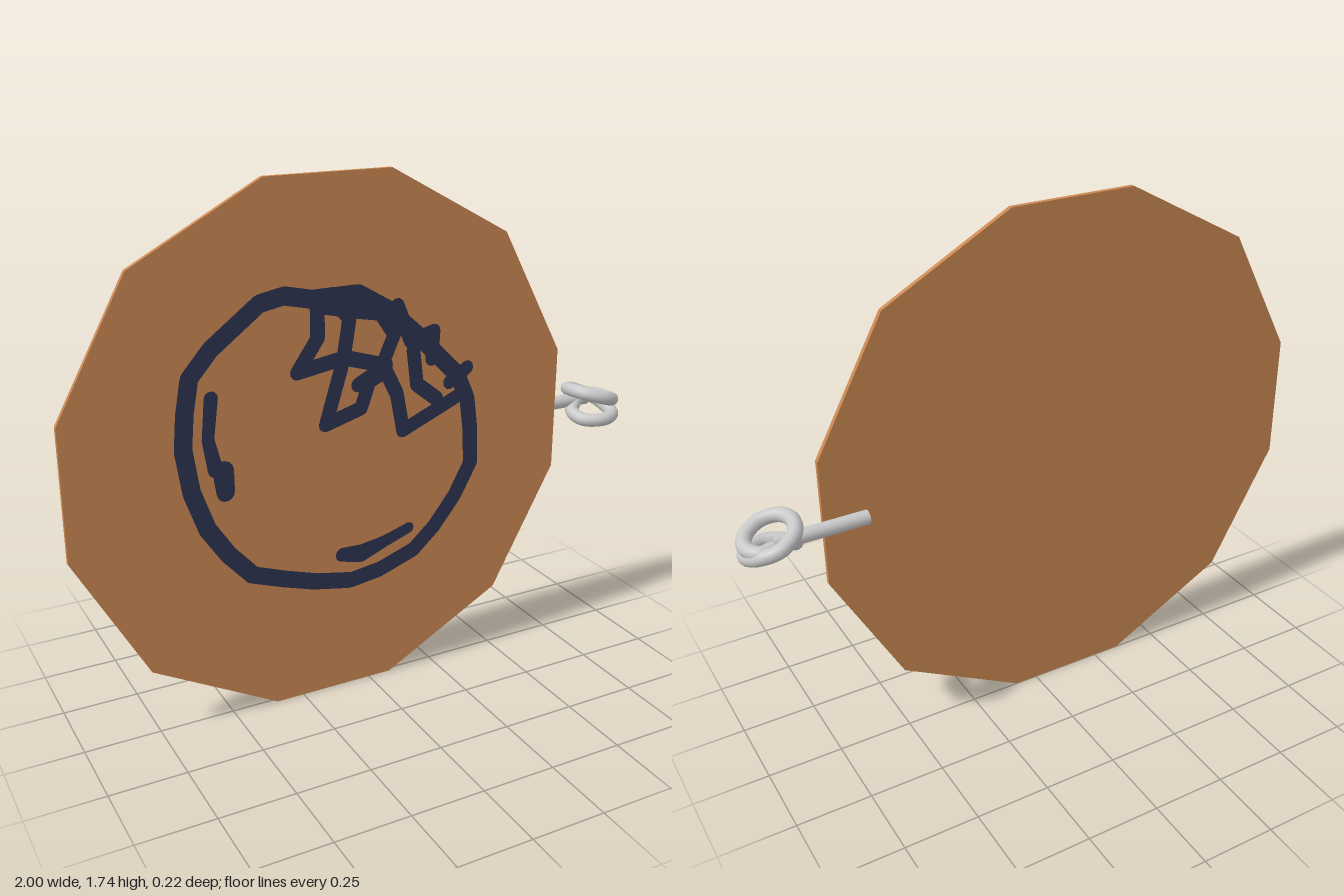
import * as THREE from 'three';
import { mergeGeometries } from 'three/addons/utils/BufferGeometryUtils.js';

const wood = new THREE.MeshStandardMaterial({ color: 0xcb8852 });
wood.name = 'copper brown';
const ink = new THREE.MeshStandardMaterial({ color: 0x2d3453 });
ink.name = 'navy ink';
const metal = new THREE.MeshStandardMaterial({ color: 0xc8c8c8 });
metal.name = 'light metal';

const CX = -0.133, CY = 0.87, FRONT = 0.0165;

function add(group, name, geometry, material) {
  const mesh = new THREE.Mesh(geometry, material);
  mesh.name = name;
  group.add(mesh);
  return mesh;
}

// Flat brush stroke: a quad per segment and a round dab per point [x, y, width]
function stroke(points, closed = false) {
  const parts = [];
  points.forEach(([x, y, w], i) => {
    parts.push(new THREE.CircleGeometry(w / 2, 14).translate(x, y, 0));
    if (i === points.length - 1 && !closed) return;
    const [x2, y2, w2] = points[(i + 1) % points.length];
    const len = Math.hypot(x2 - x, y2 - y);
    const quad = new THREE.PlaneGeometry(len, 1);
    const p = quad.attributes.position;
    for (let k = 0; k < 4; k++) p.setY(k, p.getY(k) * (p.getX(k) < 0 ? w : w2));
    parts.push(quad.rotateZ(Math.atan2(y2 - y, x2 - x)).translate((x + x2) / 2, (y + y2) / 2, 0));
  });
  return mergeGeometries(parts).translate(0, 0, FRONT + 0.0015);
}
const even = (w, pts) => pts.map(([x, y]) => [x, y, w]);

export function createModel() {
  const model = new THREE.Group();
  model.name = 'paintedPendant';

  // Twelve-sided plate
  const a = 0.8675, b = 0.213, c = 0.637;
  const corners = [];
  for (let q = 0; q < 4; q++) {
    for (const [x, y] of [[a, -b], [a, b], [c, c]]) {
      const v = new THREE.Vector2(x, y).rotateAround(new THREE.Vector2(), q * Math.PI / 2);
      corners.push(new THREE.Vector2(CX + v.x, CY + v.y * 0.87 / a));
    }
  }
  add(model, 'plate', new THREE.ExtrudeGeometry(new THREE.Shape(corners),
    { depth: FRONT, bevelEnabled: false }), wood);

  // Painted outline
  add(model, 'paintedOutline', stroke(even(0.058, [
    [-0.37, 1.37], [-0.29, 1.385], [-0.2, 1.365], [-0.04, 1.365], [0.07, 1.3], [0.17, 1.21],
    [0.25, 1.13], [0.33, 1.05], [0.37, 0.96], [0.385, 0.85], [0.39, 0.73], [0.33, 0.62],
    [0.25, 0.52], [0.17, 0.45], [0.04, 0.405], [-0.07, 0.39], [-0.2, 0.415], [-0.31, 0.45],
    [-0.42, 0.49], [-0.5, 0.58], [-0.565, 0.68], [-0.61, 0.81], [-0.63, 0.95], [-0.62, 1.06],
    [-0.6, 1.17], [-0.53, 1.25], [-0.45, 1.31]]), true), ink);

  // Painted zigzag along the upper right
  add(model, 'paintedZigzag', stroke(even(0.05, [
    [-0.18, 1.35], [-0.18, 1.24], [-0.25, 1.14], [-0.09, 1.165], [-0.155, 0.955], [-0.03, 0.99],
    [0.0, 1.075], [0.06, 1.1], [0.1, 1.02], [0.125, 0.89], [0.34, 0.98]])), ink);
  [
    [[-0.13, 1.37], [-0.07, 1.29], [-0.09, 1.17]],
    [[-0.07, 1.16], [0.06, 1.12], [-0.04, 1.07]],
    [[0.03, 1.31], [0.09, 1.22], [0.04, 1.11]],
    [[0.1, 1.31], [0.15, 1.19], [0.235, 1.21], [0.23, 1.12]],
    [[0.16, 1.16], [0.175, 1.04], [0.25, 0.98]],
    [[0.3, 1.03], [0.365, 1.07]],
    [[-0.17, 1.34], [-0.04, 1.31], [0.06, 1.29]],
  ].forEach((pts, i) => add(model, 'paintedLine' + (i + 1), stroke(even(0.05, pts)), ink));

  // Painted short marks at the left and bottom
  add(model, 'paintedLeftMark', stroke([
    [-0.535, 1.1, 0.045], [-0.55, 0.97, 0.04], [-0.53, 0.87, 0.05],
    [-0.505, 0.86, 0.07], [-0.5, 0.79, 0.06]]), ink);
  add(model, 'paintedBottomMark', stroke([
    [-0.1, 0.49, 0.05], [-0.03, 0.48, 0.065], [0.06, 0.505, 0.045], [0.15, 0.535, 0.04]]), ink);

  // Wire: straight stem behind the plate and a coiled ring
  const R = 0.0235;
  const stem = new THREE.CylinderGeometry(R, R, 0.3, 16).rotateZ(Math.PI / 2);
  add(model, 'wireStem', stem.translate(0.75, 0.872, -0.024), metal);

  const coil = new THREE.CatmullRomCurve3([
    [0.86, 0.872, -0.024], [0.825, 0.84, 0.0], [0.835, 0.823, 0.055], [0.9, 0.823, 0.086],
    [0.96, 0.825, 0.055], [0.976, 0.835, 0.0], [0.955, 0.86, -0.06], [0.9, 0.885, -0.09],
    [0.845, 0.905, -0.06], [0.825, 0.917, 0.0], [0.845, 0.915, 0.055], [0.9, 0.9, 0.08],
    [0.955, 0.88, 0.055], [0.976, 0.87, 0.0], [0.95, 0.872, -0.055], [0.91, 0.872, -0.05],
  ].map(p => new THREE.Vector3(...p)));
  add(model, 'wireCoil', new THREE.TubeGeometry(coil, 120, R, 14), metal);

  // Rounded wire ends
  for (const t of [0, 1]) {
    const p = coil.getPoint(t);
    add(model, 'wireEnd', new THREE.SphereGeometry(R, 14, 10).translate(p.x, p.y, p.z), metal);
  }
  return model;
}
